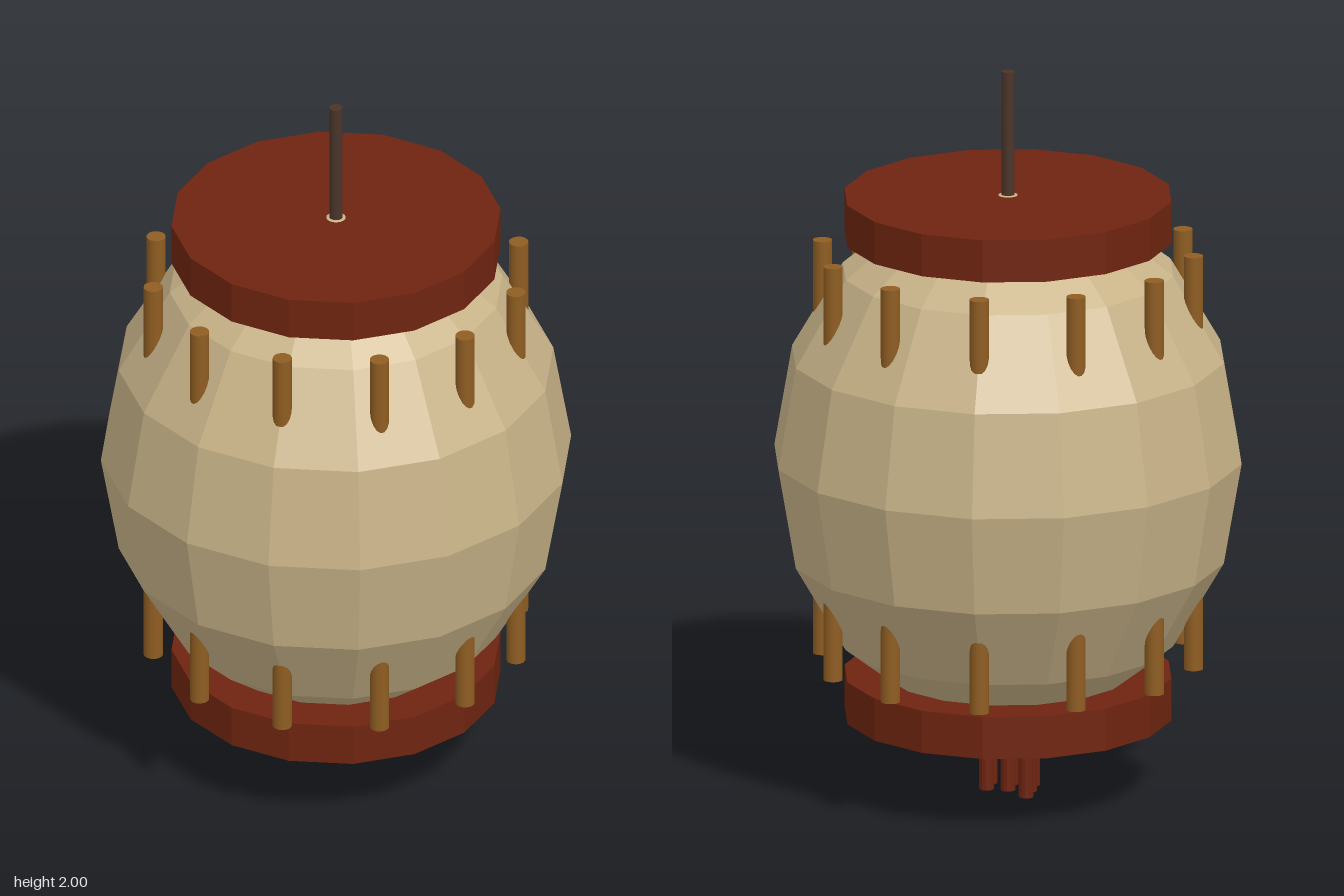
import * as THREE from 'three';

function material(name, color) {
  const m = new THREE.MeshStandardMaterial({ color });
  m.name = name;
  return m;
}

export function createModel() {
  const model = new THREE.Group();
  model.name = 'barrelLantern';

  const cream = material('cream', 0xc8b388);
  const redBrown = material('redBrown', 0x6f2410);
  const ochre = material('ochre', 0x8f5d22);
  const darkBrown = material('darkBrown', 0x4a3429);
  cream.flatShading = true;
  redBrown.flatShading = true;

  const MID = 0.934; // height of the body's centre

  function add(parent, name, geometry, mat, x, y, z) {
    const mesh = new THREE.Mesh(geometry, mat);
    mesh.name = name;
    mesh.position.set(x, y, z);
    parent.add(mesh);
    return mesh;
  }

  // Faceted body, stretched upwards
  const body = new THREE.SphereGeometry(0.632, 16, 8);
  body.scale(1, 0.728 / 0.632, 1);
  add(model, 'body', body, cream, 0, MID, 0);

  // Caps above and below
  const cap = new THREE.CylinderGeometry(0.442, 0.442, 0.117, 16);
  add(model, 'topCap', cap, redBrown, 0, MID + 0.6635, 0);
  add(model, 'bottomCap', cap, redBrown, 0, MID - 0.6635, 0);

  // Ring of rods running through the body
  const rods = new THREE.Group();
  rods.name = 'rodRing';
  const rod = new THREE.CylinderGeometry(0.026, 0.026, 1.15, 16);
  for (let i = 0; i < 12; i++) {
    const a = (i / 12) * Math.PI * 2;
    add(rods, 'rod', rod, ochre, Math.sin(a) * 0.502, MID, Math.cos(a) * 0.502);
  }
  model.add(rods);

  // Hanging stem on top
  add(model, 'stem', new THREE.CylinderGeometry(0.018, 0.018, 0.36, 16), darkBrown, 0, 1.82, 0);

  // Tassel strands underneath, filled row by row from the front
  const tassel = new THREE.Group();
  tassel.name = 'tassel';
  const strand = new THREE.CylinderGeometry(0.02, 0.02, 0.23, 12);
  for (let i = 0; i < 7; i++) {
    const col = (i % 3) - 1;
    const row = 1 - Math.floor(i / 3);
    add(tassel, 'strand', strand, redBrown, col * 0.058, 0.115, row * 0.058);
  }
  model.add(tassel);

  return model;
}
